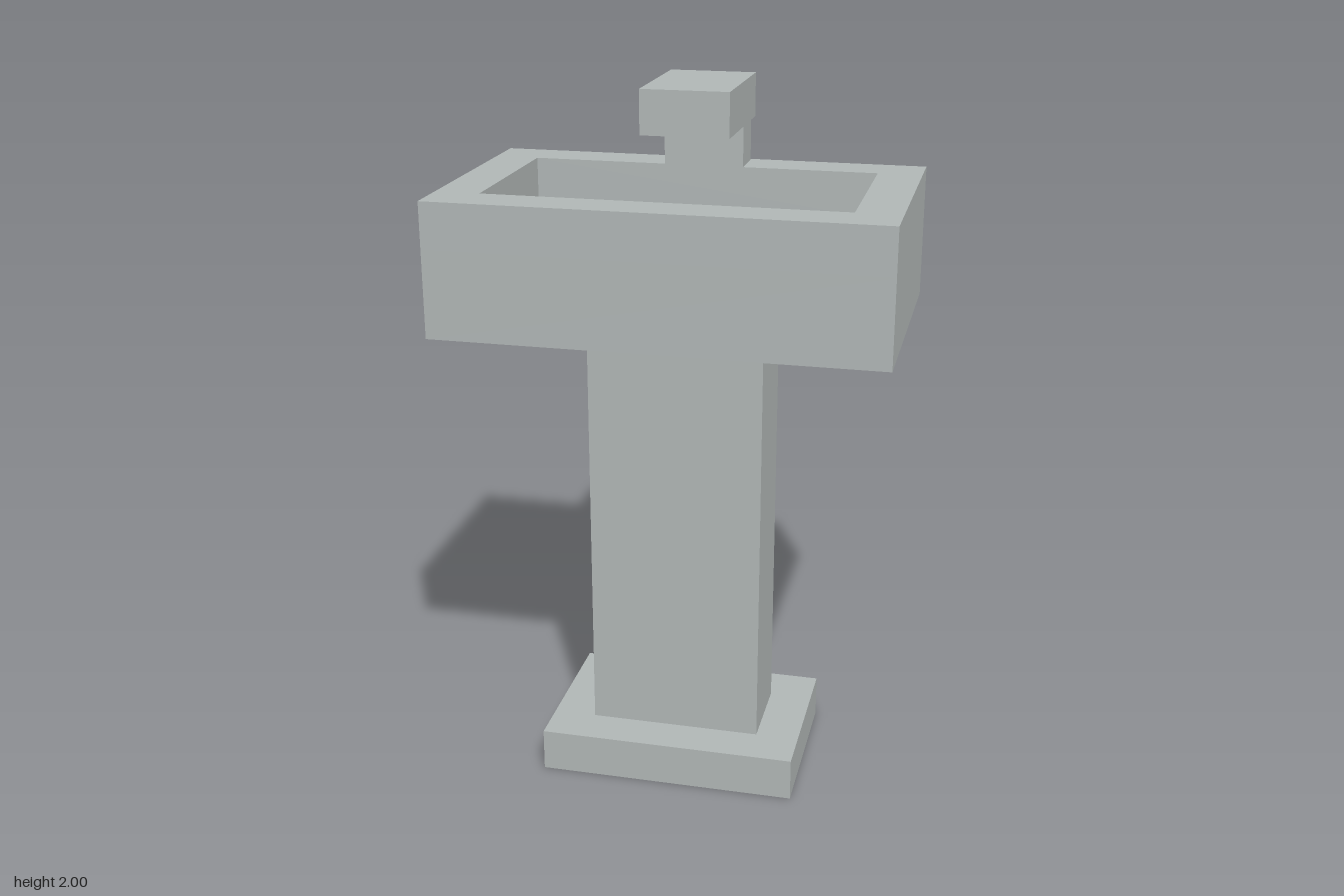
import * as THREE from 'three';

export function createModel() {
  const model = new THREE.Group();
  model.name = 'pedestalBasin';

  const stone = new THREE.MeshStandardMaterial({ color: 0xb0b6b5 });
  stone.name = 'grey stone';
  const blue = new THREE.MeshStandardMaterial({ color: 0x3d83ae });
  blue.name = 'water blue';

  // Box given by its extents along x, y and z
  function block(name, [x0, x1], [y0, y1], [z0, z1], material = stone) {
    const mesh = new THREE.Mesh(new THREE.BoxGeometry(x1 - x0, y1 - y0, z1 - z0), material);
    mesh.position.set((x0 + x1) / 2, (y0 + y1) / 2, (z0 + z1) / 2);
    mesh.name = name;
    model.add(mesh);
  }

  // Rectangle centred on the origin, for the basin rim
  function rectangle(PathType, halfW, halfD) {
    return new PathType([
      [-halfW, -halfD], [halfW, -halfD], [halfW, halfD], [-halfW, halfD],
    ].map(([x, y]) => new THREE.Vector2(x, y)));
  }

  // Foot and column
  block('foot', [-0.375, 0.375], [0, 0.125], [-0.25, 0.25]);
  block('column', [-0.25, 0.25], [0.125, 1.375], [-0.125, 0.125]);

  // Basin: solid lower part with an open rim on top
  block('basinBottom', [-0.625, 0.625], [1.375, 1.62], [-0.375, 0.375]);
  const rimShape = rectangle(THREE.Shape, 0.625, 0.375);
  rimShape.holes.push(rectangle(THREE.Path, 0.5, 0.25));
  const rimGeometry = new THREE.ExtrudeGeometry(rimShape, { depth: 0.13, bevelEnabled: false });
  rimGeometry.rotateX(-Math.PI / 2);
  const rim = new THREE.Mesh(rimGeometry, stone);
  rim.position.y = 1.62;
  rim.name = 'basinRim';
  model.add(rim);

  // Thin sheet of water inside the rim
  block('water', [-0.5, 0.5], [1.62, 1.625], [-0.25, 0.25], blue);

  // Tap: short neck on the back rim and a spout reaching over the water
  block('tapNeck', [-0.115, 0.115], [1.75, 1.875], [-0.365, -0.25]);
  block('tapSpout', [-0.125, 0.125], [1.875, 2], [-0.375, 0]);

  return model;
}
